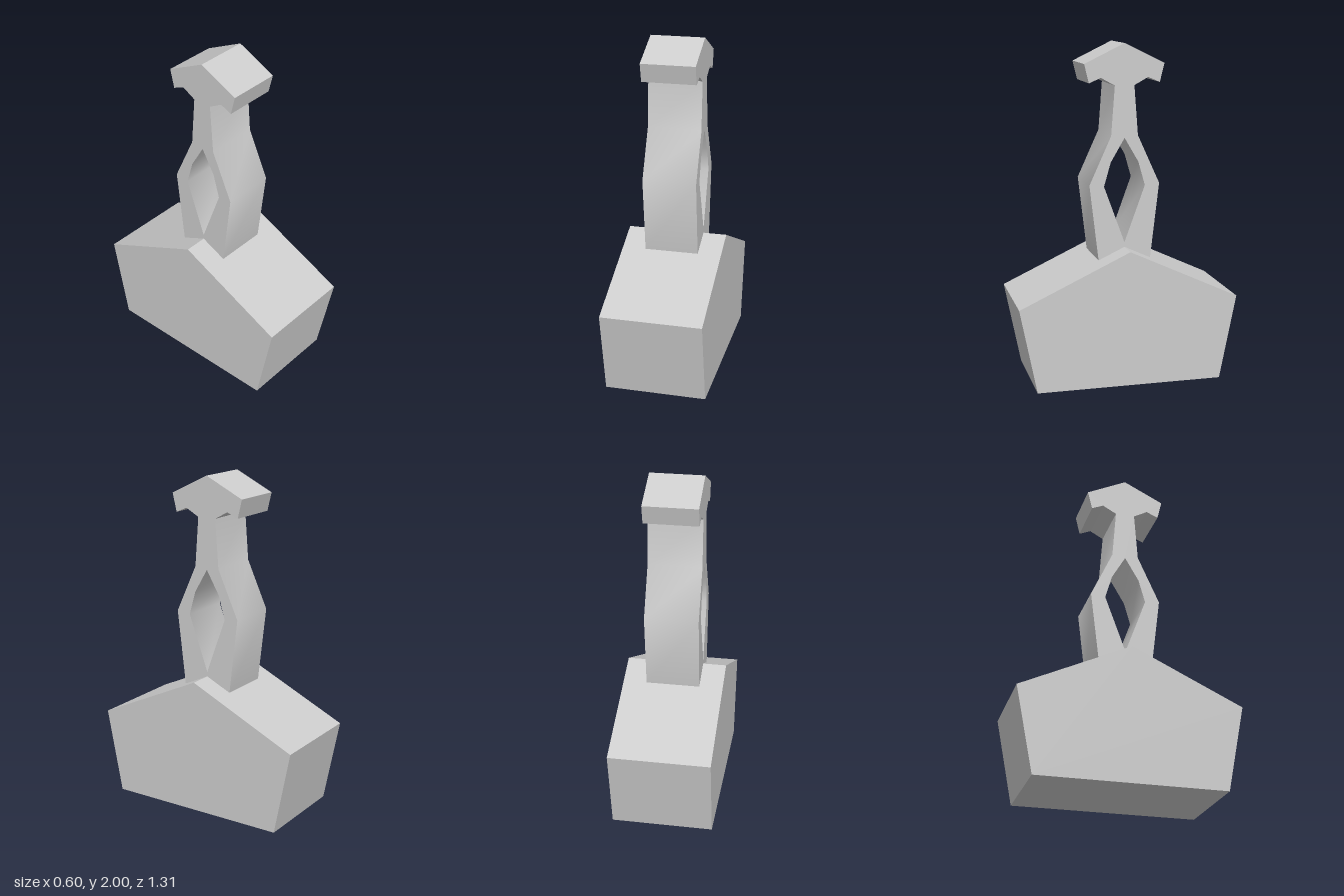
import * as THREE from 'three';
import { toCreasedNormals } from 'three/addons/utils/BufferGeometryUtils.js';

// Closed outline from its right half (listed bottom to top), mirrored about the centre line.
// Points lying on the centre line are used once.
function mirrored(half) {
  const left = half.filter(([u]) => u > 0).reverse().map(([u, y]) => [-u, y]);
  return [...half, ...left].map(([u, y]) => new THREE.Vector2(u, y));
}

// Extrudes a z-y outline across x, centred, with shallow bends smoothed.
function slab(name, outline, width, material, hole) {
  const shape = new THREE.Shape(mirrored(outline));
  if (hole) shape.holes.push(new THREE.Path(mirrored(hole)));
  const geometry = new THREE.ExtrudeGeometry(shape, { depth: width, bevelEnabled: false });
  geometry.translate(0, 0, -width / 2).rotateY(Math.PI / 2);
  const mesh = new THREE.Mesh(toCreasedNormals(geometry, 0.7), material);
  mesh.name = name;
  return mesh;
}

export function createModel() {
  const model = new THREE.Group();
  model.name = 'monument';
  const grey = new THREE.MeshStandardMaterial({ color: 0xcccccc });
  grey.name = 'light grey';

  // Wide pedestal with a gabled top
  model.add(slab('base', [[0.555, 0], [0.655, 0.505], [0, 0.81]], 0.6, grey));

  // Waisted column with a pointed eyelet, capped by a gabled head with drooping ends
  const column = [
    [0, 0.81], [0.157, 0.737], [0.21, 1.185], [0.08, 1.47], [0.058, 1.76],
    [0.14, 1.805], [0.21, 1.775], [0.237, 1.885], [0, 2],
  ];
  const eyelet = [[0, 0.838], [0.123, 1.175], [0.083, 1.315], [0, 1.457]];
  model.add(slab('columnAndHead', column, 0.32, grey, eyelet));

  return model;
}
